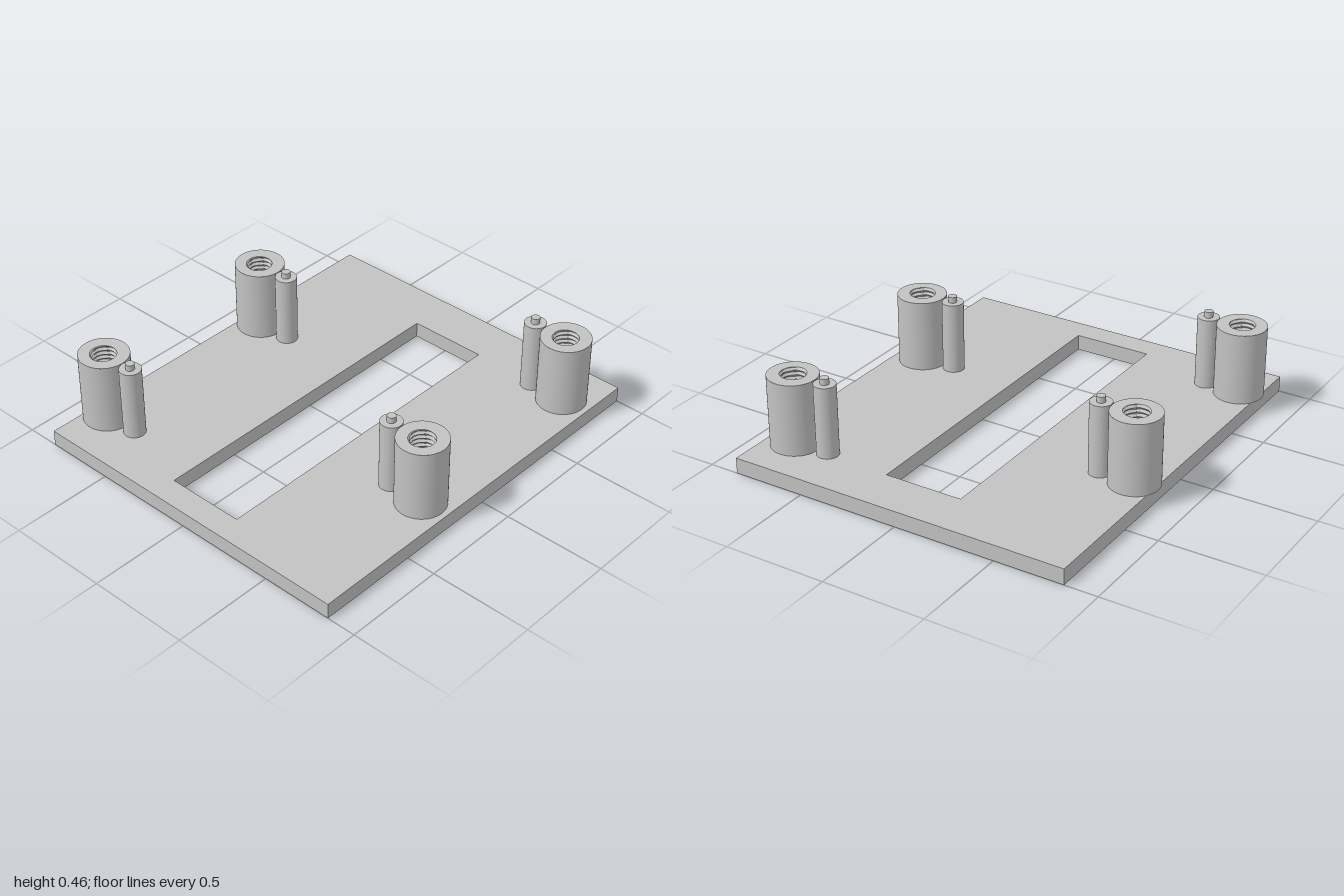
import * as THREE from 'three';
import { toCreasedNormals } from 'three/addons/utils/BufferGeometryUtils.js';

const PLATE_TOP = 0.077, POST_TOP = 0.428, PIN_TOP = 0.457;
const POST_R = 0.119, MINOR_R = 0.056, MAJOR_R = 0.067, PITCH = 0.022;

// Upright cylinder standing between two heights
function pillar(name, radius, y0, y1, material, openEnded = false) {
  const geometry = new THREE.CylinderGeometry(radius, radius, y1 - y0, 64, 1, openEnded);
  geometry.translate(0, (y0 + y1) / 2, 0);
  const mesh = new THREE.Mesh(geometry, material);
  mesh.name = name;
  return mesh;
}

// Top rim, helical thread and hole floor as one surface of rings
function threadedBore() {
  const segments = 48;
  const rows = Math.round((POST_TOP - PLATE_TOP) / PITCH * 6);
  const positions = [], index = [];
  const threadRadius = (y, angle) => {
    const t = (POST_TOP - y) / PITCH + angle / (2 * Math.PI);
    const phase = t - Math.floor(t);
    return MINOR_R + (MAJOR_R - MINOR_R) * (1 - Math.abs(2 * phase - 1));
  };
  for (let j = 0; j <= rows + 2; j++) {
    const k = Math.min(Math.max(j - 1, 0), rows);
    const y = POST_TOP - (POST_TOP - PLATE_TOP) * k / rows;
    for (let i = 0; i <= segments; i++) {
      const a = i / segments * 2 * Math.PI;
      const r = j === 0 ? POST_R : j === rows + 2 ? 0 : threadRadius(y, a);
      positions.push(r * Math.cos(a), y, r * Math.sin(a));
      if (j <= rows + 1 && i < segments) {
        const p = j * (segments + 1) + i, q = p + segments + 1;
        index.push(p, q, p + 1);
        if (j <= rows) index.push(q, q + 1, p + 1);
      }
    }
  }
  const geometry = new THREE.BufferGeometry();
  geometry.setAttribute('position', new THREE.Float32BufferAttribute(positions, 3));
  geometry.setIndex(index);
  return toCreasedNormals(geometry, 0.5);
}

export function createModel() {
  const model = new THREE.Group();
  model.name = 'mountingPlate';
  const gray = new THREE.MeshStandardMaterial({ color: 0xc2c2c2 });
  gray.name = 'plain gray';

  // Base plate with a rectangular window
  const rectangle = (Type, x0, x1, z0, z1) => new Type([
    new THREE.Vector2(x0, -z1), new THREE.Vector2(x1, -z1),
    new THREE.Vector2(x1, -z0), new THREE.Vector2(x0, -z0),
  ]);
  const outline = rectangle(THREE.Shape, -1, 1, -0.84, 0.856);
  outline.holes.push(rectangle(THREE.Path, -0.874, 0.765, -0.182, 0.206));
  const plateGeometry = new THREE.ExtrudeGeometry(outline, { depth: PLATE_TOP, bevelEnabled: false });
  plateGeometry.rotateX(-Math.PI / 2);
  const plate = new THREE.Mesh(plateGeometry, gray);
  plate.name = 'basePlate';
  model.add(plate);

  // Four standoffs, each a threaded post with a locating pin toward the window
  const boreGeometry = threadedBore();
  const standoffs = [
    ['backRight', -0.75, -0.743, 0.174], ['backLeft', 0.25, -0.743, 0.174],
    ['frontRight', -0.25, 0.711, -0.176], ['frontLeft', 0.75, 0.711, -0.176],
  ];
  for (const [side, x, z, pinOffset] of standoffs) {
    const standoff = new THREE.Group();
    standoff.name = side + 'Standoff';
    standoff.position.set(x, 0, z);

    const bore = new THREE.Mesh(boreGeometry, gray);
    bore.name = 'threadedBore';
    // Underside of the post, where it overhangs the plate
    const underside = new THREE.Mesh(new THREE.CircleGeometry(POST_R, 64), gray);
    underside.name = 'postUnderside';
    underside.rotation.x = Math.PI / 2;
    underside.position.y = PLATE_TOP;

    const support = pillar('pinSupport', 0.052, PLATE_TOP, POST_TOP, gray);
    const pin = pillar('locatingPin', 0.021, POST_TOP, PIN_TOP, gray);
    support.position.z = pin.position.z = pinOffset;

    standoff.add(pillar('postWall', POST_R, PLATE_TOP, POST_TOP, gray, true), bore, underside, support, pin);
    model.add(standoff);
  }
  return model;
}
